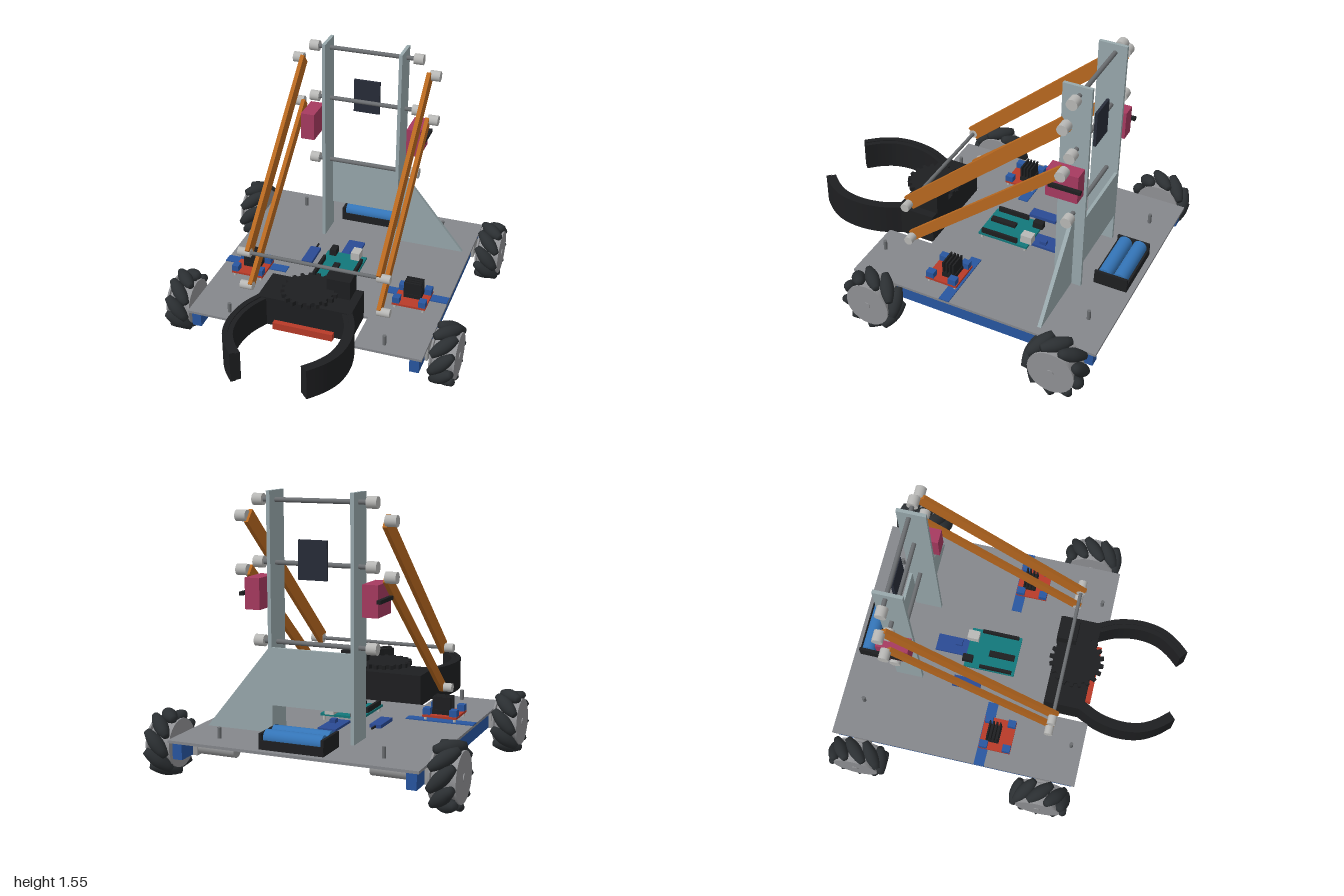
import * as THREE from 'three';

const mat = (color, opts = {}) => new THREE.MeshStandardMaterial({ color, ...opts });
const M = {
  plate: mat(0x85878c), mast: mat(0x98a8ac), steel: mat(0x6a6d70), collar: mat(0xb8b8b6),
  motor: mat(0x9a9b9c), hub: mat(0x909194), rubber: mat(0x2b2f32), orange: mat(0xb8681f),
  pink: mat(0xa63a60), black: mat(0x1e1f21), navy: mat(0x272c38), blue: mat(0x2856a0),
  cell: mat(0x3475b8), red: mat(0xb83a28), teal: mat(0x12777a), board: mat(0x2a4a94),
};

export function createModel() {
  const root = new THREE.Group();
  root.name = 'mecanumGripperRobot';

  const add = (name, geo, m, parent = root) => {
    const mesh = new THREE.Mesh(geo, m);
    mesh.name = name;
    parent.add(mesh);
    return mesh;
  };
  // Box given by its min and max on each axis
  const box = (name, m, x0, x1, y0, y1, z0, z1, parent = root) => {
    const b = add(name, new THREE.BoxGeometry(x1 - x0, y1 - y0, z1 - z0), m, parent);
    b.position.set((x0 + x1) / 2, (y0 + y1) / 2, (z0 + z1) / 2);
    return b;
  };
  // Cylinder along x
  const rodX = (name, m, r, x0, x1, y, z, parent = root) => {
    const c = add(name, new THREE.CylinderGeometry(r, r, Math.abs(x1 - x0), 24), m, parent);
    c.rotation.z = Math.PI / 2;
    c.position.set((x0 + x1) / 2, y, z);
    return c;
  };
  const post = (name, m, r, x, z, y0, y1, parent = root) => {
    const c = add(name, new THREE.CylinderGeometry(r, r, y1 - y0, 16), m, parent);
    c.position.set(x, (y0 + y1) / 2, z);
    return c;
  };
  // Plan outline of [x, z] points raised from y0 to y1
  const slab = (name, m, pts, y0, y1) => {
    const shape = new THREE.Shape(pts.map(([x, z]) => new THREE.Vector2(x, -z)));
    const geo = new THREE.ExtrudeGeometry(shape, { depth: y1 - y0, bevelEnabled: false });
    geo.rotateX(-Math.PI / 2);
    geo.translate(0, y0, 0);
    return add(name, geo, m);
  };

  // Chassis plate with front notch
  slab('basePlate', M.plate, [[-0.706, -1], [0.706, -1], [0.706, 0.505], [0.306, 0.505],
    [0.306, 0.22], [-0.306, 0.22], [-0.306, 0.505], [-0.706, 0.505]], 0.235, 0.25);
  for (const x of [-0.47, 0.47]) for (const z of [-0.86, 0.435])
    post('platePost', M.steel, 0.011, x, z, 0.25, 0.31);

  // Mecanum wheels: hub plus slanted barrel rollers
  const barrel = [[0, -0.088], [0.02, -0.088], [0.031, -0.055], [0.038, -0.025], [0.04, 0],
    [0.038, 0.025], [0.031, 0.055], [0.02, 0.088], [0, 0.088]];
  const rollerGeo = new THREE.LatheGeometry(barrel.map(p => new THREE.Vector2(...p)), 16);
  const wheel = (x, z, slant) => {
    const g = new THREE.Group();
    g.name = 'wheel';
    g.position.set(x, 0.185, z);
    root.add(g);
    rodX('wheelCore', M.hub, 0.115, -0.06, 0.06, 0, 0, g);
    for (const s of [-1, 1]) rodX('wheelDisc', M.hub, 0.135, s * 0.062, s * 0.073, 0, 0, g);
    rodX('wheelBolt', M.hub, 0.02, -0.078, 0.078, 0, 0, g);
    for (let i = 0; i < 9; i++) {
      const spoke = new THREE.Group();
      spoke.rotation.x = (i / 9) * Math.PI * 2;
      g.add(spoke);
      const r = add('roller', rollerGeo, M.rubber, spoke);
      r.position.y = 0.145;
      r.rotation.set(Math.PI / 2, 0, slant * Math.PI / 4, 'YXZ');
    }
  };

  for (const s of [-1, 1]) {
    // Side beams, drive motors and wheels
    box('sideBeam', M.blue, s * 0.66 - 0.028, s * 0.66 + 0.028, 0.143, 0.235, -0.98, 0.49);
    for (const z of [0.315, -0.815]) {
      rodX('motor', M.motor, 0.043, s * 0.39, s * 0.62, 0.182, z);
      rodX('motorShaft', M.steel, 0.015, s * 0.6, s * 0.74, 0.185, z);
      box('gearbox', M.motor, s * 0.655 - 0.05, s * 0.655 + 0.05, 0.14, 0.235, z - 0.05, z + 0.05);
      wheel(s * 0.803, z, s * Math.sign(z));
    }

    // Mast uprights and servos
    box('mastUpright', M.mast, s * 0.237 - 0.01, s * 0.237 + 0.01, 0.25, 1.56, -0.715, -0.55);
    box('armServo', M.pink, s * 0.336 - 0.043, s * 0.336 + 0.043, 0.93, 1.1, -0.717, -0.533);
    box('servoHorn', M.black, s * 0.39 - 0.011, s * 0.39 + 0.011, 1.006, 1.026, -0.74, -0.555);

    // Parallel lift arms with their pivot collars
    for (const [y0, z0, y1, z1, w] of [[1.42, -0.638, 0.592, 0.302, 0.085], [1.132, -0.638, 0.355, 0.29, 0.062]]) {
      const len = Math.hypot(y1 - y0, z1 - z0);
      const arm = add('liftArm', new THREE.BoxGeometry(0.024, w, len), M.orange);
      arm.position.set(s * 0.393, (y0 + y1) / 2, (z0 + z1) / 2);
      arm.rotation.x = Math.atan2(y0 - y1, z1 - z0);
      rodX('armCollar', M.collar, 0.031, s * 0.395, s * 0.457, y0, -0.645);
      rodX('armCollar', M.collar, 0.026, s * 0.38, s * 0.457, y1, z1 - 0.004);
    }
  }
  rodX('frontCrossRod', M.steel, 0.011, -0.45, 0.45, 0.592, 0.298);

  // Mast cross rods
  for (const y of [1.51, 1.18, 0.755]) {
    rodX('mastRod', M.steel, 0.013, -0.35, 0.35, y, -0.647);
    for (const s of [-1, 1]) rodX('mastCollar', M.collar, 0.032, s * 0.295, s * 0.352, y, -0.647);
  }
  box('mastBackPanel', M.mast, -0.237, 0.237, 0.42, 0.733, -0.715, -0.697);
  box('displayPanel', M.navy, -0.084, 0.08, 1.1, 1.31, -0.687, -0.671);
  // Single triangular brace on the left side
  const tri = new THREE.Shape([[0.247, 0.25], [0.655, 0.25], [0.247, 0.75]].map(p => new THREE.Vector2(...p)));
  add('mastGusset', new THREE.ExtrudeGeometry(tri, { depth: 0.022, bevelEnabled: false }), M.mast).position.z = -0.658;

  // Gripper body, gear and servo
  box('gripperBody', M.black, -0.28, 0.28, 0.24, 0.425, 0.22, 0.46);
  box('gripperFloor', M.red, -0.18, 0.18, 0.236, 0.28, 0.4, 0.492);
  post('gearAxle', M.black, 0.05, 0, 0.36, 0.42, 0.45);
  const teeth = [];
  for (let i = 0; i < 20; i++)
    for (const [da, r] of [[-0.3, 0.142], [-0.18, 0.165], [0.18, 0.165], [0.3, 0.142]]) {
      const a = ((i + da) / 20) * Math.PI * 2;
      teeth.push([r * Math.cos(a), 0.36 + r * Math.sin(a)]);
    }
  slab('gripperGear', M.black, teeth, 0.445, 0.47);
  box('gripperServo', M.black, 0.093, 0.232, 0.425, 0.543, 0.215, 0.333);

  // Curved claw jaws: a thick outer wall and a slightly lower inner lip
  for (const s of [-1, 1]) {
    const path = new THREE.CatmullRomCurve3([[0.25, 0.44], [0.305, 0.56], [0.326, 0.7], [0.308, 0.82],
      [0.26, 0.91], [0.195, 0.985]].map(([x, z]) => new THREE.Vector3(x, 0, z)));
    const strip = (a, b) => {
      const outer = [], inner = [];
      for (let i = 0; i <= 20; i++) {
        const p = path.getPoint(i / 20), t = path.getTangent(i / 20);
        outer.push([s * (p.x + t.z * a), p.z - t.x * a]);
        inner.unshift([s * (p.x + t.z * b), p.z - t.x * b]);
      }
      return outer.concat(inner);
    };
    slab('clawJaw', M.black, strip(0.029, -0.002), 0.236, 0.424);
    slab('clawJawLip', M.black, strip(-0.002, -0.03), 0.24, 0.418);
  }

  // Battery tray and cells
  box('batteryTray', M.black, -0.184, 0.181, 0.25, 0.272, -0.965, -0.768);
  for (const x of [-0.176, 0.173]) box('batteryEnd', M.black, x - 0.008, x + 0.008, 0.25, 0.335, -0.965, -0.768);
  for (const z of [-0.963, -0.77]) box('batterySide', M.black, -0.184, 0.181, 0.25, 0.3, z - 0.003, z + 0.003);
  for (const z of [-0.911, -0.821]) rodX('batteryCell', M.cell, 0.042, -0.165, 0.162, 0.305, z);

  // Controller board
  box('controllerBoard', M.teal, -0.127, 0.127, 0.277, 0.29, -0.318, -0.002);
  for (const x of [-0.11, 0.11]) for (const z of [-0.3, -0.02]) post('standoff', M.collar, 0.009, x, z, 0.25, 0.277);
  box('controllerPort', M.collar, 0.04, 0.095, 0.29, 0.34, -0.333, -0.262);
  box('powerJack', M.black, -0.1, -0.06, 0.29, 0.33, -0.333, -0.27);
  box('controllerChip', M.black, -0.036, 0, 0.29, 0.308, -0.18, -0.02);
  box('pinHeader', M.black, -0.122, -0.106, 0.29, 0.32, -0.22, -0.02);
  box('pinHeader', M.black, 0.106, 0.122, 0.29, 0.32, -0.25, -0.02);

  // Small modules
  box('sensorBoard', M.board, -0.053, 0.053, 0.25, 0.264, -0.517, -0.31);
  box('sensorChip', M.board, 0, 0.034, 0.264, 0.285, -0.4, -0.36);
  box('radioBoard', M.board, -0.257, -0.19, 0.25, 0.27, -0.36, -0.187);
  box('radioAntenna', M.black, -0.227, -0.219, 0.255, 0.265, -0.412, -0.36);

  // Motor driver boards with finned heat sinks and terminals
  for (const s of [-1, 1]) {
    const g = new THREE.Group();
    g.name = 'motorDriver';
    g.position.x = s * 0.508;
    root.add(g);
    box('driverStrip', M.blue, -0.2, 0.198, 0.25, 0.256, -0.115, -0.052, g);
    box('driverBoard', M.red, -0.1, 0.1, 0.272, 0.285, -0.11, 0.085, g);
    for (const x of [-0.085, 0.085]) for (const z of [-0.095, 0.07]) {
      post('driverStandoff', M.collar, 0.009, x, z, 0.25, 0.272, g);
      box('terminal', M.blue, x * 0.92 - 0.021, x * 0.92 + 0.021, 0.285, 0.322, z * 0.85 - 0.024, z * 0.85 + 0.024, g);
    }
    box('heatSinkBase', M.black, -0.053, 0.053, 0.285, 0.31, -0.075, 0.005, g);
    for (let i = 0; i < 4; i++)
      box('heatSinkFin', M.black, -0.053, 0.053, 0.3, 0.385, -0.07 + i * 0.021, -0.061 + i * 0.021, g);
  }

  return root;
}
